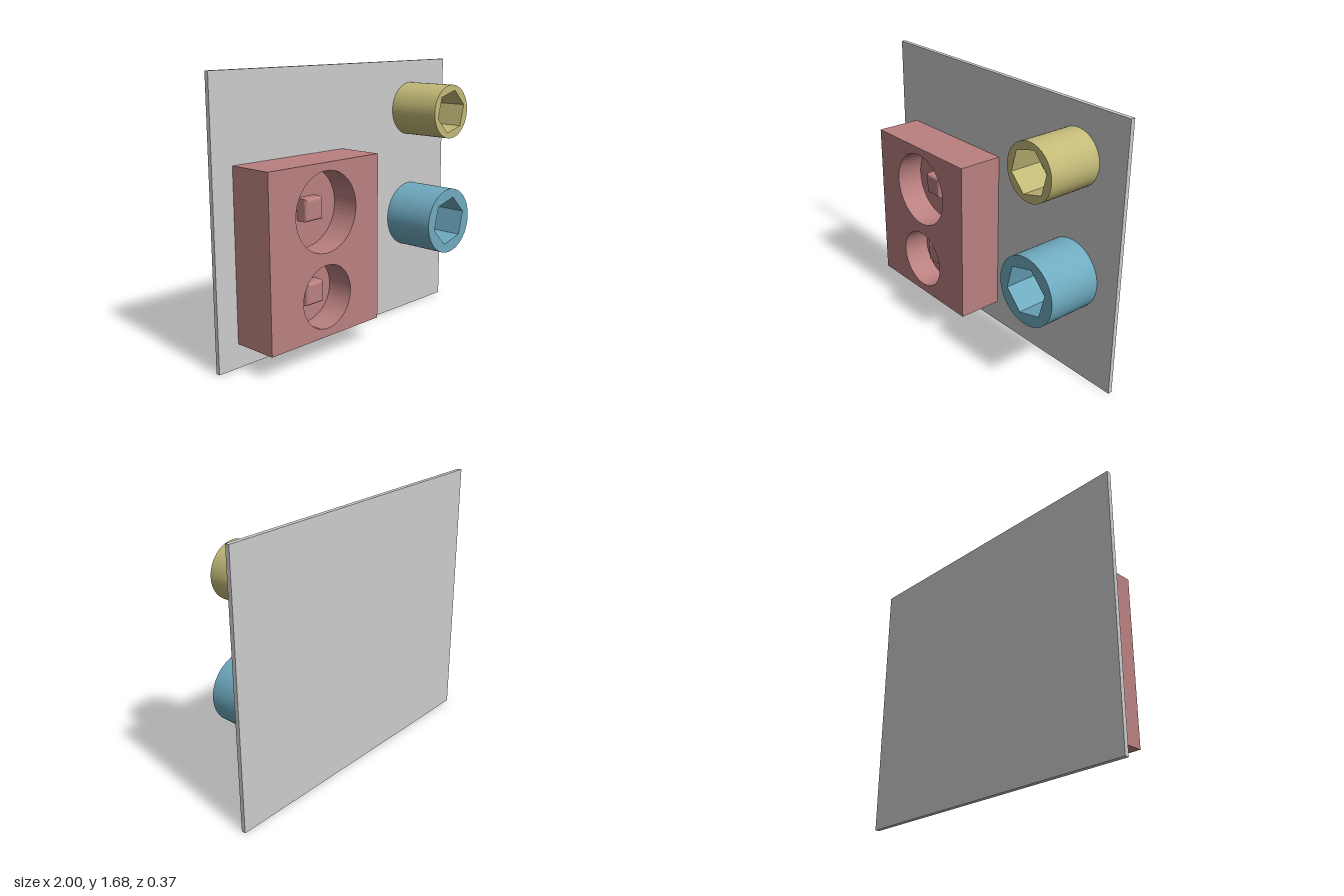
import * as THREE from 'three';

const material = (name, color) => new THREE.MeshStandardMaterial({ name, color });

// Closed outline from points around a centre; many sides read as a circle
function ring(Kind, x, y, radius, sides, startDeg = 0) {
  const points = [];
  for (let i = 0; i < sides; i++) {
    const a = THREE.MathUtils.degToRad(startDeg) + (i / sides) * Math.PI * 2;
    points.push(new THREE.Vector2(x + radius * Math.cos(a), y + radius * Math.sin(a)));
  }
  return new Kind(points);
}

function rect(x0, x1, y0, y1) {
  return new THREE.Shape([[x0, y0], [x1, y0], [x1, y1], [x0, y1]].map(([x, y]) => new THREE.Vector2(x, y)));
}

// Straight prism of an outline between two depths
function prism(name, shape, z0, z1, mat, holes = []) {
  shape.holes.push(...holes);
  const geometry = new THREE.ExtrudeGeometry(shape, { depth: z1 - z0, bevelEnabled: false });
  geometry.translate(0, 0, z0);
  const mesh = new THREE.Mesh(geometry, mat);
  mesh.name = name;
  return mesh;
}

export function createModel() {
  const grey = material('panel grey', 0xcccccc);
  const red = material('block red', 0xba8080);
  const yellow = material('small socket yellow', 0xc3ba78);
  const blue = material('large socket blue', 0x6fabc0);

  const model = new THREE.Group();
  model.name = 'wallPanel';
  const back = -0.16;

  // Backing panel
  model.add(prism('panel', rect(-1, 1, 0, 1.685), -0.187, back, grey));

  // Block with two round recesses, each holding a square peg
  const block = new THREE.Group();
  block.name = 'block';
  const floor = -0.045;
  const recesses = [{ y: 0.885, r: 0.238 }, { y: 0.385, r: 0.19 }];
  block.add(prism('blockBase', rect(-0.86, 0, 0.145, 1.17), back, floor, red));
  block.add(prism('blockFace', rect(-0.86, 0, 0.145, 1.17), floor, 0.13, red,
    recesses.map(({ y, r }) => ring(THREE.Path, -0.43, y, r, 64))));
  for (const { y } of recesses) {
    const bevel = 0.017, half = 0.0665 - bevel;
    const geometry = new THREE.ExtrudeGeometry(rect(-half, half, -half, half), {
      depth: 0.08, bevelThickness: bevel, bevelSize: bevel, bevelSegments: 5,
    });
    const peg = new THREE.Mesh(geometry, red);
    peg.name = 'peg';
    peg.position.set(-0.43, y, 0.03 - 0.08 - bevel);
    block.add(peg);
  }
  model.add(block);

  // Round posts with blind hexagonal sockets
  const posts = [
    { name: 'smallSocket', y: 1.372, r: 0.171, hex: 0.139, mat: yellow },
    { name: 'largeSocket', y: 0.656, r: 0.213, hex: 0.158, mat: blue },
  ];
  for (const { name, y, r, hex, mat } of posts) {
    const post = new THREE.Group();
    post.name = name;
    const x = 0.64, socketFloor = -0.02;
    post.add(prism('socketBase', ring(THREE.Shape, x, y, r, 64), back, socketFloor, mat));
    post.add(prism('socketSleeve', ring(THREE.Shape, x, y, r, 64), socketFloor, 0.187, mat,
      [ring(THREE.Path, x, y, hex, 6, 15)]));
    model.add(post);
  }
  return model;
}
